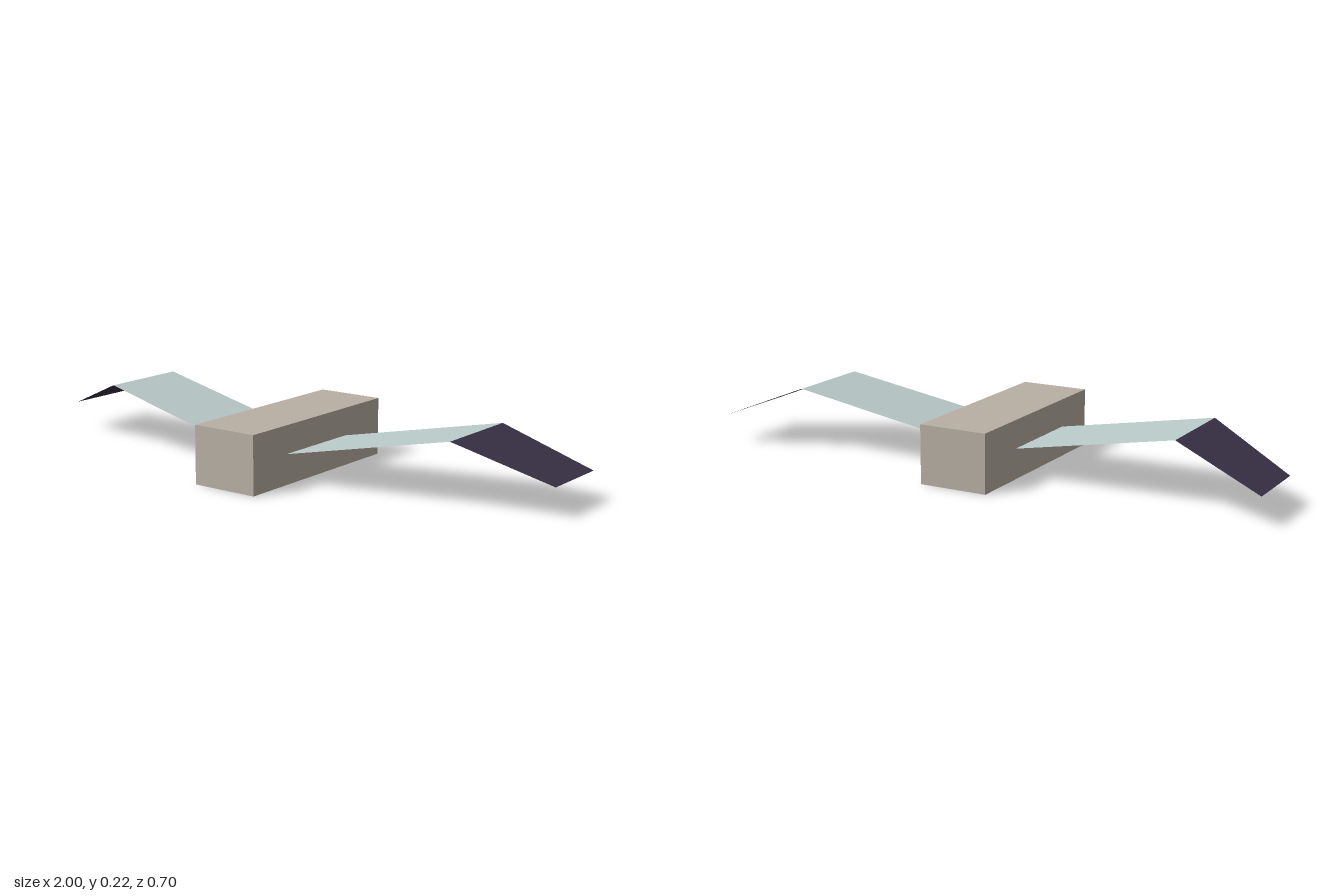
import * as THREE from 'three';

const bodyMat = new THREE.MeshStandardMaterial({ color: 0xb8b0a4 });
bodyMat.name = 'warm grey';
const wingMat = new THREE.MeshStandardMaterial({ color: 0xb9cac9, side: THREE.DoubleSide });
wingMat.name = 'pale blue grey';
const tipMat = new THREE.MeshStandardMaterial({ color: 0x3a3248, side: THREE.DoubleSide });
tipMat.name = 'dark purple';

// Chords across the wing, from root to tip
const root = { x: 0.1, y: 0.1, front: 0.18, back: -0.15 };
const bend = { x: 0.7, y: 0.22, front: 0.12, back: -0.2 };
const tip = { x: 1, y: 0.1, front: 0, back: -0.25 };

// Flat sheet between two chords, facing up on either side
function panel(name, a, b, side, material) {
  const corners = [
    [side * a.x, a.y, a.front], [side * b.x, b.y, b.front],
    [side * b.x, b.y, b.back], [side * a.x, a.y, a.back],
  ];
  const geometry = new THREE.BufferGeometry();
  geometry.setAttribute('position', new THREE.Float32BufferAttribute(corners.flat(), 3));
  geometry.setIndex(side > 0 ? [0, 1, 2, 0, 2, 3] : [0, 2, 1, 0, 3, 2]);
  geometry.computeVertexNormals();
  const mesh = new THREE.Mesh(geometry, material);
  mesh.name = name;
  return mesh;
}

export function createModel() {
  const model = new THREE.Group();
  model.name = 'bird';

  // Body block
  const body = new THREE.Mesh(new THREE.BoxGeometry(0.24, 0.2, 0.7), bodyMat);
  body.name = 'body';
  body.position.y = 0.1;
  model.add(body);

  // Wings: a rising inner panel and a drooping tip
  for (const [label, side] of [['left', 1], ['right', -1]]) {
    const wing = new THREE.Group();
    wing.name = `${label}Wing`;
    wing.add(
      panel(`${label}InnerWing`, root, bend, side, wingMat),
      panel(`${label}WingTip`, bend, tip, side, tipMat),
    );
    model.add(wing);
  }
  return model;
}
